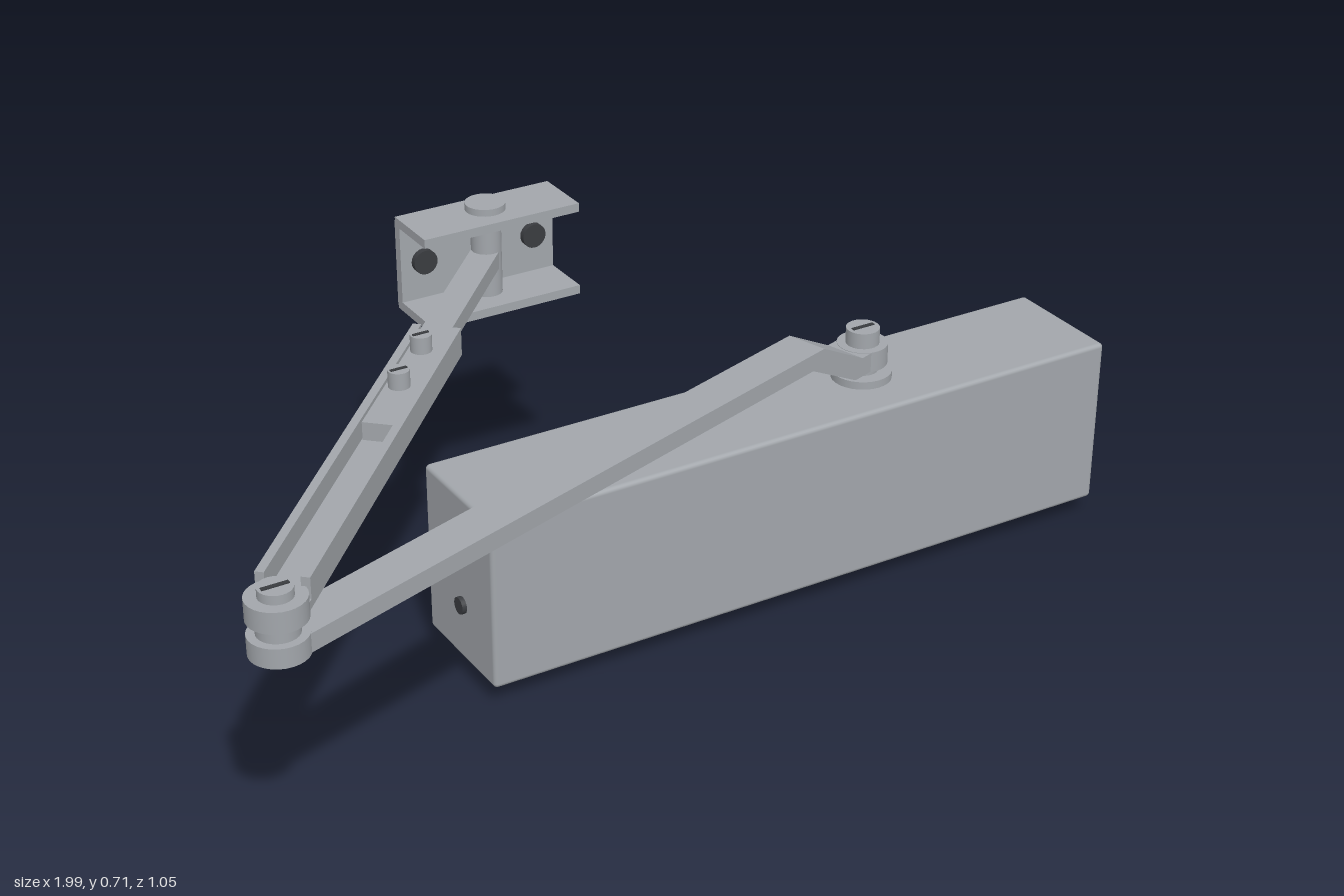
import * as THREE from 'three';
import { RoundedBoxGeometry } from 'three/addons/geometries/RoundedBoxGeometry.js';

export function createModel() {
  const model = new THREE.Group();
  model.name = 'doorCloser';
  const steel = new THREE.MeshStandardMaterial({ color: 0xa2a6ab });
  steel.name = 'steelGrey';
  const dark = new THREE.MeshStandardMaterial({ color: 0x3a3c40 });
  dark.name = 'darkScrew';

  const add = (name, geometry, material = steel, parent = model) => {
    const mesh = new THREE.Mesh(geometry, material);
    mesh.name = name;
    parent.add(mesh);
    return mesh;
  };
  const box = (name, x0, x1, y0, y1, z0, z1, mat, parent) => {
    const m = add(name, new THREE.BoxGeometry(x1 - x0, y1 - y0, z1 - z0), mat, parent);
    m.position.set((x0 + x1) / 2, (y0 + y1) / 2, (z0 + z1) / 2);
    return m;
  };
  // Upright cylinder between two heights
  const post = (name, x, z, r, y0, y1, mat, parent) => {
    const m = add(name, new THREE.CylinderGeometry(r, r, y1 - y0, 28), mat, parent);
    m.position.set(x, (y0 + y1) / 2, z);
    return m;
  };
  const slot = (x, y, z, parent) =>
    box('screwSlot', x - 0.024, x + 0.024, y - 0.001, y + 0.002, z - 0.004, z + 0.004, dark, parent);
  // Socket screw lying along z or x
  const screw = (name, x, y, z, r, length, axis) => {
    const m = add(name, new THREE.CylinderGeometry(r, r, length, 20), dark);
    m.position.set(x, y, z);
    if (axis === 'z') m.rotation.x = Math.PI / 2;
    else m.rotation.z = Math.PI / 2;
  };
  // Group at a, with local +x pointing to b
  const link = (name, a, b) => {
    const g = new THREE.Group();
    g.name = name;
    g.position.set(a[0], 0, a[1]);
    g.rotation.y = Math.atan2(a[1] - b[1], b[0] - a[0]);
    model.add(g);
    return g;
  };

  const spindle = [0.5, 0], elbow = [-0.945, 0.47], shoePin = [-0.07, -0.472];

  // Closer body with its fixing screws and end valves
  add('body', new RoundedBoxGeometry(1.39, 0.352, 0.258, 2, 0.009)).position.set(0.302, 0.216, 0.006);
  for (const x of [-0.235, 0.83]) screw('mountScrew', x, 0.215, -0.129, 0.027, 0.016, 'z');
  for (const y of [0.16, 0.275]) screw('valveScrew', -0.394, y, 0.015, 0.017, 0.016, 'x');
  for (const y of [0.102, 0.322]) box('backRib', -0.28, 0.76, y - 0.017, y + 0.017, -0.125, -0.12);

  // Spindle through the body
  post('spindleFoot', ...spindle, 0.04, 0, 0.05);
  post('spindleCollar', ...spindle, 0.06, 0.38, 0.408);
  post('spindleShaft', ...spindle, 0.033, 0.4, 0.498);

  // Main arm, cranked down to the spindle
  const main = link('mainArm', elbow, spindle);
  const profile = new THREE.Shape([
    [0, 0.497], [1.31, 0.497], [1.445, 0.425], [1.515, 0.425],
    [1.515, 0.465], [1.465, 0.465], [1.342, 0.532], [0, 0.532],
  ].map(([x, y]) => new THREE.Vector2(x, y)));
  const bar = new THREE.ExtrudeGeometry(profile, { depth: 0.084, bevelEnabled: false });
  bar.translate(0, 0, -0.042);
  add('mainArmBar', bar, steel, main);
  post('spindleEye', ...spindle, 0.05, 0.424, 0.466);
  slot(spindle[0], 0.498, spindle[1]);

  // Elbow joint
  post('elbowLowerEye', ...elbow, 0.052, 0.496, 0.533);
  post('elbowPin', ...elbow, 0.037, 0.52, 0.57);
  post('elbowUpperEye', ...elbow, 0.052, 0.56, 0.6);
  post('elbowPinHead', ...elbow, 0.03, 0.59, 0.617);
  slot(elbow[0], 0.617, elbow[1]);

  // Adjustable forearm: open channel with a sliding rod clamped by two screws
  const fore = link('forearm', elbow, shoePin);
  const length = Math.hypot(shoePin[0] - elbow[0], shoePin[1] - elbow[1]);
  box('channelFloor', 0, 0.93, 0.562, 0.578, -0.046, 0.046, steel, fore);
  for (const s of [-1, 1])
    box('channelWall', 0.035, 0.93, 0.562, 0.617, s * 0.038 - 0.008, s * 0.038 + 0.008, steel, fore);
  box('slidingRod', 0.55, length, 0.578, 0.613, -0.028, 0.028, steel, fore);
  for (const [x, z] of [[-0.475, -0.04], [-0.378, -0.145]]) {
    post('clampScrew', x, z, 0.02, 0.605, 0.646);
    box('clampScrewSlot', x - 0.016, x + 0.016, 0.645, 0.648, z - 0.003, z + 0.003, dark);
  }

  // Frame shoe: U bracket open to the front
  box('shoeTop', -0.238, 0.098, 0.68, 0.698, -0.526, -0.4);
  box('shoeBottom', -0.238, 0.098, 0.504, 0.522, -0.526, -0.4);
  box('shoeBack', -0.238, 0.098, 0.51, 0.69, -0.528, -0.508);
  post('shoePin', ...shoePin, 0.03, 0.51, 0.69);
  post('shoePinCap', ...shoePin, 0.04, 0.69, 0.712);
  for (const x of [-0.19, 0.05]) screw('shoeScrew', x, 0.602, -0.503, 0.025, 0.016, 'z');

  return model;
}
